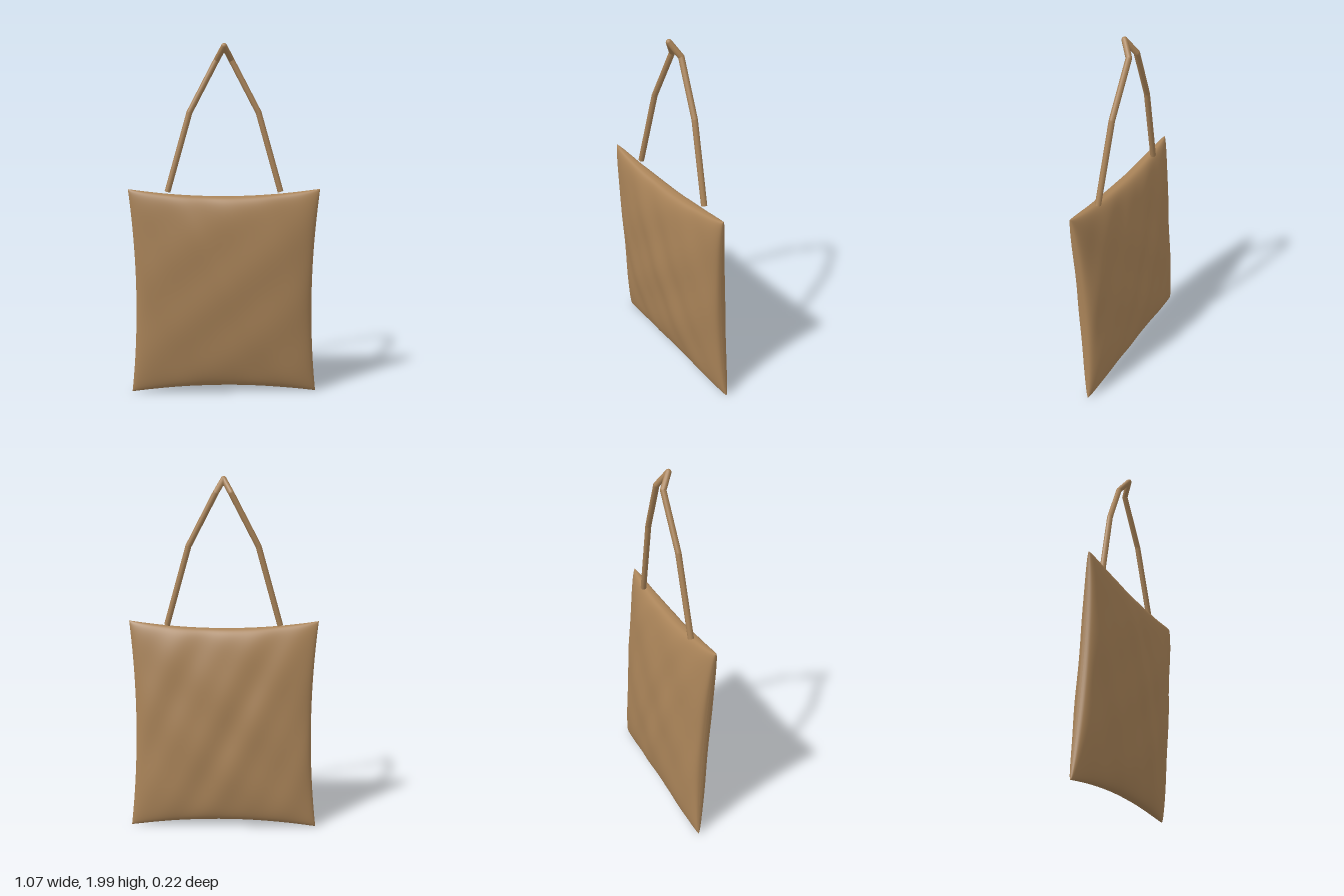
import * as THREE from 'three';

const CENTRE_Y = 0.607;

// One puffed half of the bag; both halves meet at the seam
function pillowHalf(side) {
  const geo = new THREE.PlaneGeometry(2, 2, 64, 64);
  const pos = geo.attributes.position;
  for (let i = 0; i < pos.count; i++) {
    // rows crowd towards the seam, where the surface curves most
    const u = Math.sin(pos.getX(i) * Math.PI / 2) * side;
    const v = Math.sin(pos.getY(i) * Math.PI / 2);
    const rim = Math.max(0, (1 - u * u) * (1 - v * v));
    // soft diagonal creases, different on each half
    const crease = 0.004 * Math.sin(9 * u + 5 * v + side) + 0.003 * Math.sin(6 * u - 8 * v + 2 * side)
      + 0.0025 * Math.sin(15 * u + 8 * v);
    const z = 0.098 * Math.pow(rim, 0.35) + crease * Math.sqrt(rim);
    // concave edges leave pointed corners
    pos.setXYZ(i, 0.5 * u * (1 + 0.07 * v * v), 0.557 * v * (1 + 0.075 * u * u), side * z);
  }
  geo.computeVertexNormals();
  return geo;
}

// Round rod between two points
function rod(a, b, radius, material) {
  const dir = b.clone().sub(a);
  const mesh = new THREE.Mesh(new THREE.CylinderGeometry(radius, radius, dir.length(), 12), material);
  mesh.position.copy(a).add(b).multiplyScalar(0.5);
  mesh.quaternion.setFromUnitVectors(new THREE.Vector3(0, 1, 0), dir.normalize());
  return mesh;
}

export function createModel() {
  const model = new THREE.Group();
  const cloth = new THREE.MeshStandardMaterial({ color: 0xa98358, side: THREE.DoubleSide });
  const cord = new THREE.MeshStandardMaterial({ color: 0xa98358 });

  // Padded bag, leaning slightly forward at the top
  const bag = new THREE.Group();
  bag.name = 'bag';
  for (const side of [1, -1]) {
    const half = new THREE.Mesh(pillowHalf(side), cloth);
    half.name = side > 0 ? 'bagFront' : 'bagBack';
    bag.add(half);
  }
  bag.position.y = CENTRE_Y;
  bag.rotation.x = 0.058;
  model.add(bag);

  // Bent strap halves meeting at the peak
  const R = 0.0165;
  for (const s of [1, -1]) {
    const strap = new THREE.Group();
    strap.name = s > 0 ? 'leftStrap' : 'rightStrap';
    const pts = [[0.317, 1.185, 0], [0.192, 1.625, -0.018], [0.042, 1.91, -0.034], [0, 1.984, 0.013]]
      .map(([x, y, z]) => new THREE.Vector3(s * x, y, z));
    for (let i = 0; i < pts.length - 1; i++) {
      const piece = rod(pts[i], pts[i + 1], R, cord);
      piece.name = 'strapSegment';
      const joint = new THREE.Mesh(new THREE.SphereGeometry(R, 12, 8), cord);
      joint.name = 'strapJoint';
      joint.position.copy(pts[i + 1]);
      strap.add(piece, joint);
    }
    model.add(strap);
  }
  return model;
}
